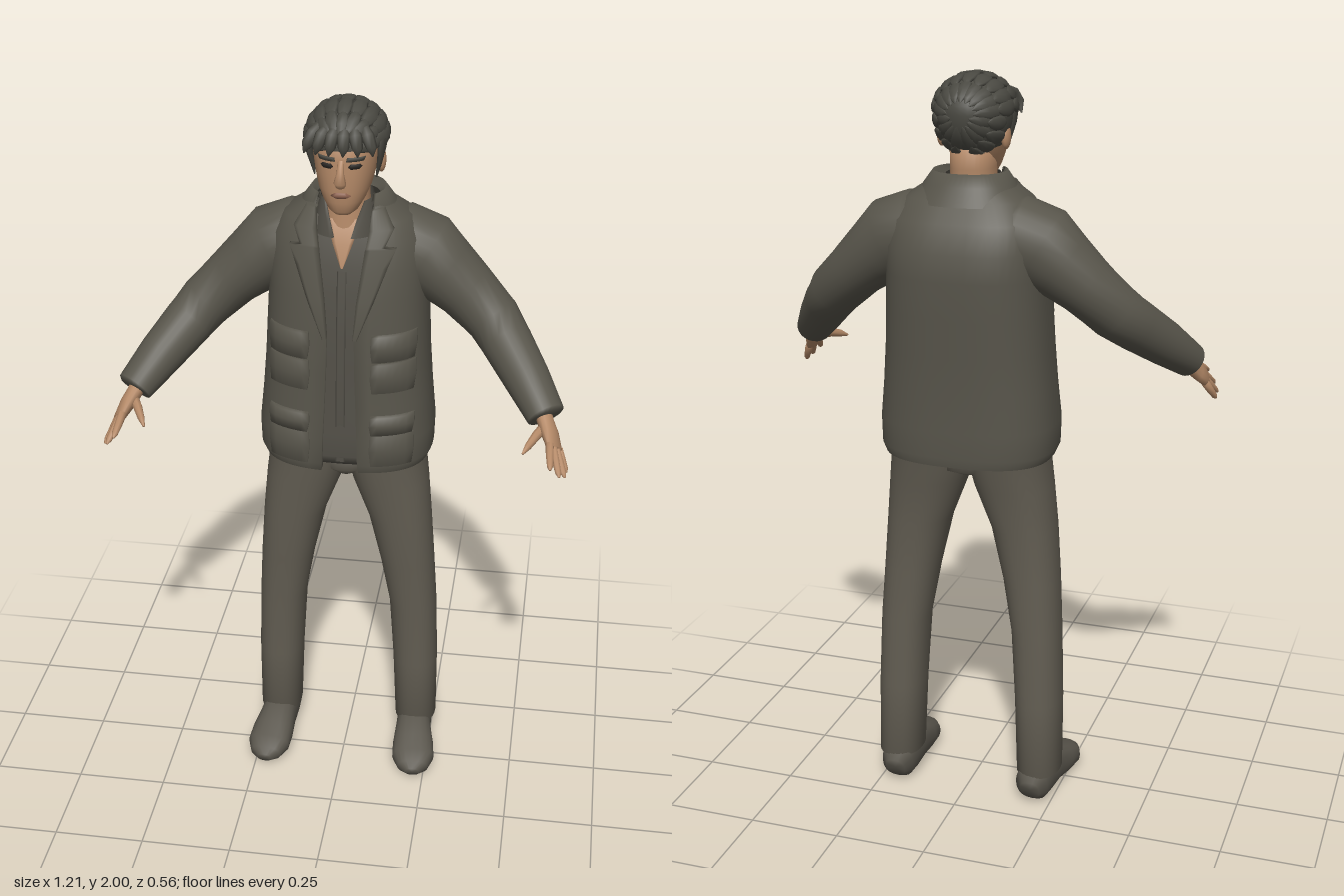
import * as THREE from 'three';

const V = (x, y, z) => new THREE.Vector3(x, y, z);
const mat = (name, color, side = THREE.FrontSide) => {
  const m = new THREE.MeshStandardMaterial({ color, side });
  m.name = name;
  return m;
};

// Surface through rows of points; closed rows wrap round and may be capped
function surface(rows, closed = true, caps = closed) {
  const n = rows[0].length, pos = [], idx = [];
  rows.forEach(r => r.forEach(p => pos.push(p.x, p.y, p.z)));
  for (let j = 0; j < rows.length - 1; j++)
    for (let i = 0; i < (closed ? n : n - 1); i++) {
      const a = j * n + i, b = j * n + (i + 1) % n, c = a + n, d = b + n;
      idx.push(a, c, b, b, c, d);
    }
  if (caps) [0, rows.length - 1].forEach((j, end) => {
    const c = V(0, 0, 0);
    rows[j].forEach(p => c.addScaledVector(p, 1 / n));
    const k = pos.length / 3;
    pos.push(c.x, c.y, c.z);
    for (let i = 0; i < n; i++) {
      const a = j * n + i, b = j * n + (i + 1) % n;
      end ? idx.push(k, b, a) : idx.push(k, a, b);
    }
  });
  const g = new THREE.BufferGeometry();
  g.setAttribute('position', new THREE.Float32BufferAttribute(pos, 3));
  g.setIndex(idx);
  g.computeVertexNormals();
  return g;
}

const pow = (v, n) => Math.sign(v) * Math.abs(v) ** (2 / n);
// Horizontal section: [y, half width, front z, back z, centre x]
const section = ([y, w, f, b, cx = 0], a, n) =>
  V(cx + w * pow(Math.cos(a), n), y, (f + b) / 2 + (f - b) / 2 * pow(Math.sin(a), n));
const loft = (rows, n = 2.3, seg = 32) => surface(rows.map(r =>
  Array.from({ length: seg }, (_, i) => section(r, i / seg * Math.PI * 2, n))));

// Loft open at the front by a half gap, with edges turned inward
function openLoft(rows, gaps, n, depth = 0.03, seg = 44) {
  return surface(rows.map((r, j) => {
    const a0 = Math.acos(-((gaps[j] / r[1]) ** (n / 2)));
    const a1 = Math.PI * 3 - a0;
    const pts = Array.from({ length: seg + 1 }, (_, i) => section(r, a0 + (a1 - a0) * i / seg, n));
    const inner = p => V(p.x, p.y, p.z - depth);
    return [inner(pts[0]), ...pts, inner(pts[seg])];
  }), false);
}

// Tapered limb: points [x, y, z, radius along ref, radius across]
function limb(points, ref, seg = 14, n = 2) {
  const c = points.map(p => V(p[0], p[1], p[2]));
  return surface(points.map((p, j) => {
    const t = c[Math.min(j + 1, c.length - 1)].clone().sub(c[Math.max(j - 1, 0)]).normalize();
    const u = ref.clone().addScaledVector(t, -ref.dot(t)).normalize();
    const v = u.clone().cross(t);
    return Array.from({ length: seg }, (_, i) => {
      const a = i / seg * Math.PI * 2;
      return c[j].clone().addScaledVector(u, p[3] * pow(Math.cos(a), n)).addScaledVector(v, p[4] * pow(Math.sin(a), n));
    });
  }));
}

// Front z of a lofted body at (x, y)
function frontZ(rows, n, x, y) {
  let j = 0;
  while (j < rows.length - 2 && rows[j + 1][0] < y) j++;
  const k = THREE.MathUtils.clamp((y - rows[j][0]) / (rows[j + 1][0] - rows[j][0]), 0, 1);
  const [w, f, b] = [1, 2, 3].map(i => THREE.MathUtils.lerp(rows[j][i], rows[j + 1][i], k));
  return (f + b) / 2 + (f - b) / 2 * (1 - Math.min(1, Math.abs(x) / w) ** n) ** (1 / n);
}

// Raised patch lying on a body's front: edge rows [y, x0, x1]
function patch(body, n, edges, raise, cols = 6) {
  const rows = [edges[0], ...edges, edges[edges.length - 1]];
  return surface(rows.map(([y, x0, x1], j) => {
    const ks = [0, ...Array.from({ length: cols + 1 }, (_, i) => i / cols), 1];
    return ks.map((k, i) => {
      const x = x1 + (x0 - x1) * k;
      const rim = j === 0 || j === rows.length - 1 || i === 0 || i === ks.length - 1;
      return V(x, y, frontZ(body, n, x, y) + (rim ? -0.006 : raise));
    });
  }), false);
}

export function createModel() {
  const model = new THREE.Group();
  model.name = 'standingMan';
  const D = THREE.DoubleSide;
  const jacketM = mat('jacketCloth', 0x58554b, D), shirtM = mat('shirtCloth', 0x524f47, D);
  const trouserM = mat('trouserCloth', 0x625d52), shoeM = mat('shoeLeather', 0x5a564d);
  const skinM = mat('skin', 0xb58a68, D), hairM = mat('hair', 0x4a4942, D);
  const darkM = mat('eyeDark', 0x2a2724, D), lipM = mat('lips', 0x8f6350, D);

  const add = (name, geo, m) => {
    const mesh = new THREE.Mesh(geo, m);
    mesh.name = name;
    model.add(mesh);
  };
  const pair = (name, geo, m) => {
    const g = geo.clone().scale(-1, 1, 1), ix = g.index.array;
    for (let i = 0; i < ix.length; i += 3) [ix[i], ix[i + 1]] = [ix[i + 1], ix[i]];
    add(name + 'Left', geo, m);
    add(name + 'Right', g, m);
  };
  const X = V(1, 0, 0), Y = V(0, 1, 0);

  // Jacket and shirt
  const body = [
    [1.005, 0.225, 0.08, -0.26], [1.03, 0.236, 0.088, -0.265], [1.1, 0.238, 0.088, -0.265],
    [1.2, 0.228, 0.08, -0.265], [1.3, 0.22, 0.078, -0.27], [1.4, 0.215, 0.072, -0.275],
    [1.5, 0.21, 0.062, -0.28], [1.57, 0.21, 0.05, -0.277], [1.64, 0.2, 0.032, -0.25],
    [1.69, 0.165, 0.012, -0.21], [1.73, 0.105, 0, -0.18]];
  const gaps = [0.05, 0.048, 0.046, 0.042, 0.038, 0.036, 0.045, 0.055, 0.062, 0.07, 0.07];
  add('jacketBody', openLoft(body, gaps, 2.6), jacketM);
  const shirt = body.map(([y, w, f, b]) => [y + 0.015, w - 0.025, f - 0.018, b + 0.03]);
  shirt.pop();
  add('shirt', loft(shirt, 2.6), shirtM);
  add('shirtPlacket', patch(shirt, 2.6, [1.03, 1.2, 1.4, 1.57].map(y => [y, -0.012, 0.012]), 0.004), shirtM);
  add('openNeck', patch(shirt, 2.6, [[1.58, -0.003, 0.003], [1.64, -0.025, 0.025], [1.7, -0.045, 0.045]], 0.006), skinM);
  add('shirtCollar', openLoft([[1.66, 0.085, 0.035, -0.13], [1.705, 0.078, 0.025, -0.14], [1.745, 0.068, 0.005, -0.15]],
    [0.022, 0.035, 0.05], 2.2, 0.01), shirtM);
  add('jacketCollar', openLoft([[1.68, 0.145, 0.012, -0.225], [1.725, 0.118, 0.005, -0.2],
    [1.757, 0.095, -0.01, -0.183], [1.735, 0.082, -0.01, -0.165]], [0.075, 0.075, 0.07, 0.065], 2.2, 0.01), jacketM);
  pair('lapel', patch(body, 2.6, [[1.4, 0.034, 0.045], [1.5, 0.042, 0.085], [1.59, 0.054, 0.118],
    [1.635, 0.06, 0.137], [1.64, 0.062, 0.108], [1.68, 0.068, 0.128], [1.725, 0.07, 0.1]], 0.014), jacketM);
  [['chestFlap', 1.34, 1.41, 0.016], ['chestPocket', 1.25, 1.33, 0.012],
    ['hipFlap', 1.13, 1.18, 0.016], ['hipPocket', 1.035, 1.125, 0.011]].forEach(([name, y0, y1, raise]) =>
    pair(name, patch(body, 2.6, [[y0, 0.085, 0.19], [(y0 + y1) / 2, 0.08, 0.195], [y1, 0.082, 0.193]], raise), jacketM));

  // Sleeves
  pair('sleeve', limb([[0.09, 1.59, -0.12, 0.1, 0.1], [0.14, 1.592, -0.12, 0.11, 0.108], [0.2, 1.57, -0.117, 0.11, 0.103],
    [0.25, 1.53, -0.112, 0.092, 0.095], [0.31, 1.48, -0.103, 0.079, 0.086], [0.385, 1.41, -0.082, 0.073, 0.072],
    [0.425, 1.368, -0.035, 0.068, 0.067], [0.485, 1.305, 0.043, 0.06, 0.06], [0.54, 1.243, 0.118, 0.047, 0.051],
    [0.542, 1.24, 0.121, 0.036, 0.04]], Y, 24), jacketM);

  // Hands
  const spread = V(0.4, -0.58, -0.71);
  pair('palm', limb([[0.525, 1.26, 0.09, 0.026, 0.022], [0.54, 1.23, 0.125, 0.028, 0.021],
    [0.553, 1.21, 0.15, 0.037, 0.02], [0.569, 1.182, 0.185, 0.038, 0.014]], spread), skinM);
  [[0.562, 1.172, 0.275], [0.586, 1.142, 0.257], [0.6, 1.126, 0.228], [0.603, 1.12, 0.192]].forEach((tip, i) => {
    const k = V(0.567, 1.186, 0.179).addScaledVector(spread, 0.029 * (i / 1.5 - 1)), t = V(...tip);
    const at = (s, r) => [...k.clone().lerp(t, s).toArray(), r, r];
    pair('finger' + (i + 1), limb([at(0, 0.0115), at(0.5, 0.01), at(0.85, 0.008), at(1, 0.003)], spread, 8), skinM);
  });
  pair('thumb', limb([[0.545, 1.222, 0.13, 0.016, 0.014], [0.52, 1.212, 0.175, 0.013, 0.012],
    [0.502, 1.2, 0.212, 0.01, 0.009], [0.49, 1.19, 0.235, 0.003, 0.003]], Y, 8), skinM);

  // Trousers
  pair('trouserLeg', loft([[0.085, 0.06, -0.025, -0.185, 0.205], [0.3, 0.064, -0.02, -0.18, 0.2],
    [0.5, 0.067, -0.014, -0.175, 0.19], [0.65, 0.076, 0, -0.17, 0.172], [0.8, 0.088, 0.013, -0.176, 0.149],
    [0.92, 0.106, 0.02, -0.192, 0.12], [1, 0.11, 0.03, -0.212, 0.106], [1.06, 0.11, 0.03, -0.22, 0.106]]), trouserM);
  add('trouserSeat', loft([[0.94, 0.03, -0.02, -0.13], [0.965, 0.09, 0.005, -0.185], [1.06, 0.15, 0.03, -0.21]]), trouserM);

  // Shoes
  pair('shoe', limb([[0.2, 0.047, -0.185, 0.028, 0.03], [0.2, 0.055, -0.165, 0.046, 0.05], [0.202, 0.06, -0.11, 0.05, 0.06],
    [0.206, 0.058, -0.04, 0.052, 0.058], [0.212, 0.046, 0.02, 0.06, 0.046], [0.217, 0.036, 0.07, 0.061, 0.036],
    [0.22, 0.03, 0.108, 0.044, 0.027], [0.221, 0.026, 0.126, 0.02, 0.014]], X, 20, 2.5), shoeM);

  // Neck, head and face
  add('neck', loft([[1.6, 0.07, 0.015, -0.13], [1.68, 0.06, 0.01, -0.13], [1.76, 0.057, 0, -0.14], [1.82, 0.057, 0, -0.14]]), skinM);
  const head = [[1.724, 0.022, 0.035, -0.01], [1.735, 0.038, 0.046, -0.05], [1.76, 0.054, 0.052, -0.09],
    [1.79, 0.067, 0.056, -0.12], [1.83, 0.077, 0.057, -0.15], [1.87, 0.083, 0.056, -0.16],
    [1.91, 0.085, 0.052, -0.165], [1.95, 0.07, 0.02, -0.14], [1.975, 0.035, -0.03, -0.1]];
  add('head', loft(head), skinM);
  add('nose', limb([[0, 1.872, 0.052, 0.008, 0.006], [0, 1.845, 0.062, 0.009, 0.01], [0, 1.82, 0.069, 0.016, 0.012],
    [0, 1.808, 0.058, 0.012, 0.008]], X, 10), skinM);
  pair('eye', patch(head, 2.3, [[1.852, 0.025, 0.045], [1.858, 0.019, 0.052], [1.864, 0.024, 0.047]], 0.003), darkM);
  pair('brow', patch(head, 2.3, [[1.872, 0.014, 0.056], [1.881, 0.016, 0.06]], 0.005), hairM);
  add('mouth', patch(head, 2.3, [[1.776, -0.012, 0.012], [1.782, -0.025, 0.025], [1.79, -0.014, 0.014]], 0.005), lipM);
  pair('ear', new THREE.SphereGeometry(1, 14, 10).scale(0.012, 0.032, 0.02).translate(0.086, 1.838, -0.068), skinM);

  // Hair: a cap, overlapping locks swept back, fringe and sideburns
  const R = [0.101, 0.09, 0.122];
  const shell = g => g.scale(...R).translate(0, 1.9, -0.057);
  add('hairCap', shell(new THREE.SphereGeometry(1, 32, 12, 0, Math.PI * 2, 0, Math.PI / 2)), hairM);
  add('hairNape', shell(new THREE.SphereGeometry(1, 24, 12, Math.PI, Math.PI, Math.PI / 2, Math.PI * 0.38).scale(1, 1.35, 1)), hairM);
  for (let i = 0; i < 17; i++) {
    const phi = (i - 8) * 0.355, low = Math.abs(phi) > 1.6;
    const start = (low ? 1.75 : 0.32) + (i % 2) * 0.12, end = low ? 2.75 : 2.6, count = low ? 2 : 4;
    for (let k = 0; k < count; k++) {
      const step = (end - start) / count;
      const pts = [0, 0.2, 0.5, 0.8, 1].map((s, q) => {
        const th = start + step * (k + s * 1.35), lift = 0.985 + 0.055 * s;
        const sy = Math.cos(phi) < 0 ? 1.35 : 1;
        const w = [0.25, 0.8, 1, 0.75, 0.08][q] * (0.008 + 0.014 * Math.sin(th));
        return [R[0] * lift * Math.sin(th) * Math.sin(phi), 1.9 + R[1] * sy * lift * Math.sin(th) * Math.cos(phi),
          -0.057 + R[2] * lift * Math.cos(th), w, 0.008 * w / 0.02];
      });
      add('hairLock', limb(pts, V(Math.cos(phi), -Math.sin(phi), 0), 8), hairM);
    }
  }
  [-0.075, -0.05, -0.022, 0.008, 0.038, 0.068].forEach(x => {
    const back = 3.5 * x * x;
    add('fringeLock', limb([[x * 0.7, 1.955, 0.025 - back, 0.01, 0.007], [x * 0.95, 1.935, 0.06 - back, 0.017, 0.011],
      [x * 1.12, 1.91, 0.068 - back, 0.014, 0.009], [x * 1.2 - 0.004, 1.884, 0.058 - back, 0.002, 0.002]], X, 8), hairM);
  });
  pair('sideburn', limb([[0.092, 1.915, -0.02, 0.032, 0.01], [0.09, 1.87, -0.026, 0.024, 0.009],
    [0.084, 1.835, -0.032, 0.014, 0.006], [0.078, 1.805, -0.03, 0.003, 0.002]], V(0, 0, 1), 10), hairM);
  return model;
}
